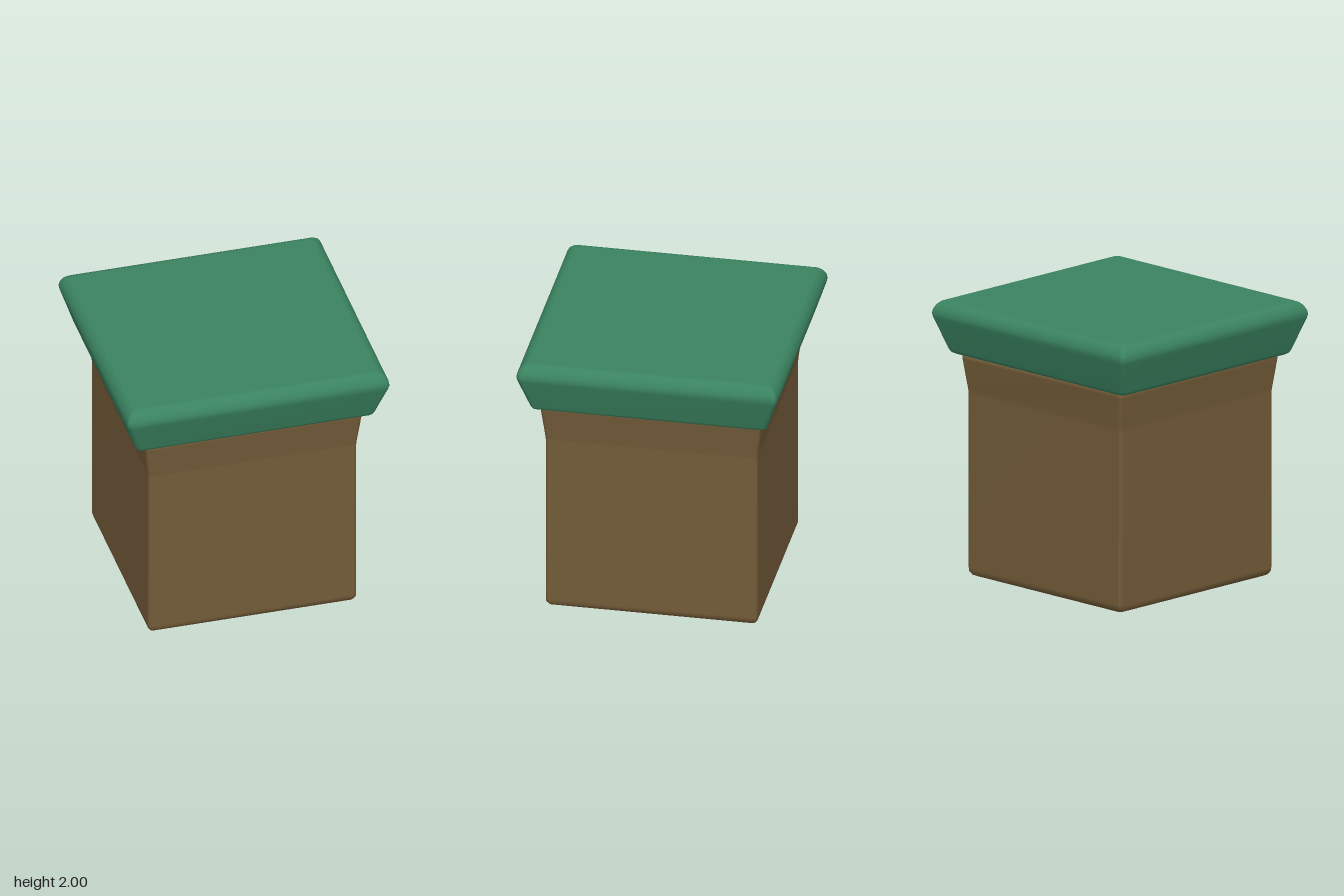
import * as THREE from 'three';

// Closed solid lofted through rounded-rectangle rings; each ring is [y, halfX, halfZ]
function loftBox(rings, radius, steps = 4) {
  const pos = [], index = [], n = 4 * (steps + 1);
  for (const [y, hx, hz] of rings) {
    for (let q = 0; q < 4; q++) {
      const sx = q === 0 || q === 3 ? 1 : -1, sz = q < 2 ? 1 : -1;
      for (let s = 0; s <= steps; s++) {
        const a = (q + s / steps) * Math.PI / 2;
        pos.push(sx * (hx - radius) + radius * Math.cos(a), y, sz * (hz - radius) + radius * Math.sin(a));
      }
    }
  }
  const last = (rings.length - 1) * n, low = rings.length * n, high = low + 1;
  pos.push(0, rings[0][0], 0, 0, rings[rings.length - 1][0], 0);
  for (let j = 0; j < n; j++) {
    const k = (j + 1) % n;
    for (let r = 0; r < last; r += n) {
      index.push(r + j, r + n + j, r + k, r + k, r + n + j, r + n + k);
    }
    index.push(low, j, k, high, last + k, last + j);
  }
  const geo = new THREE.BufferGeometry();
  geo.setAttribute('position', new THREE.Float32BufferAttribute(pos, 3));
  geo.setIndex(index);
  geo.computeVertexNormals();
  return geo;
}

export function createModel() {
  const brown = new THREE.MeshStandardMaterial({ color: 0x735b38 });
  brown.name = 'earth brown';
  const green = new THREE.MeshStandardMaterial({ color: 0x3a8360 });
  green.name = 'grass green';

  // Square block that flares slightly under the lid
  const bodyProfile = [
    [0, 0.72], [0.01, 0.742], [0.035, 0.757], [0.06, 0.759], [1.32, 0.759],
    [1.35, 0.761], [1.575, 0.789], [1.595, 0.79], [1.607, 0.78],
  ];
  const body = new THREE.Mesh(loftBox(bodyProfile.map(([y, h]) => [y, h, h]), 0.025), brown);
  body.name = 'body';

  // Overhanging lid with tapered sides and a rounded rim, a little narrower in z
  const lidProfile = [
    [1.605, 0.8], [1.613, 0.84], [1.625, 0.862], [1.645, 0.873], [1.875, 0.95],
    [1.905, 0.957], [1.935, 0.951], [1.965, 0.936], [1.988, 0.912], [1.997, 0.89], [2, 0.87],
  ];
  const lid = new THREE.Mesh(loftBox(lidProfile.map(([y, h]) => [y, h, h - 0.024]), 0.035), green);
  lid.name = 'lid';

  const group = new THREE.Group();
  group.name = 'liddedBlock';
  group.add(body, lid);
  return group;
}
